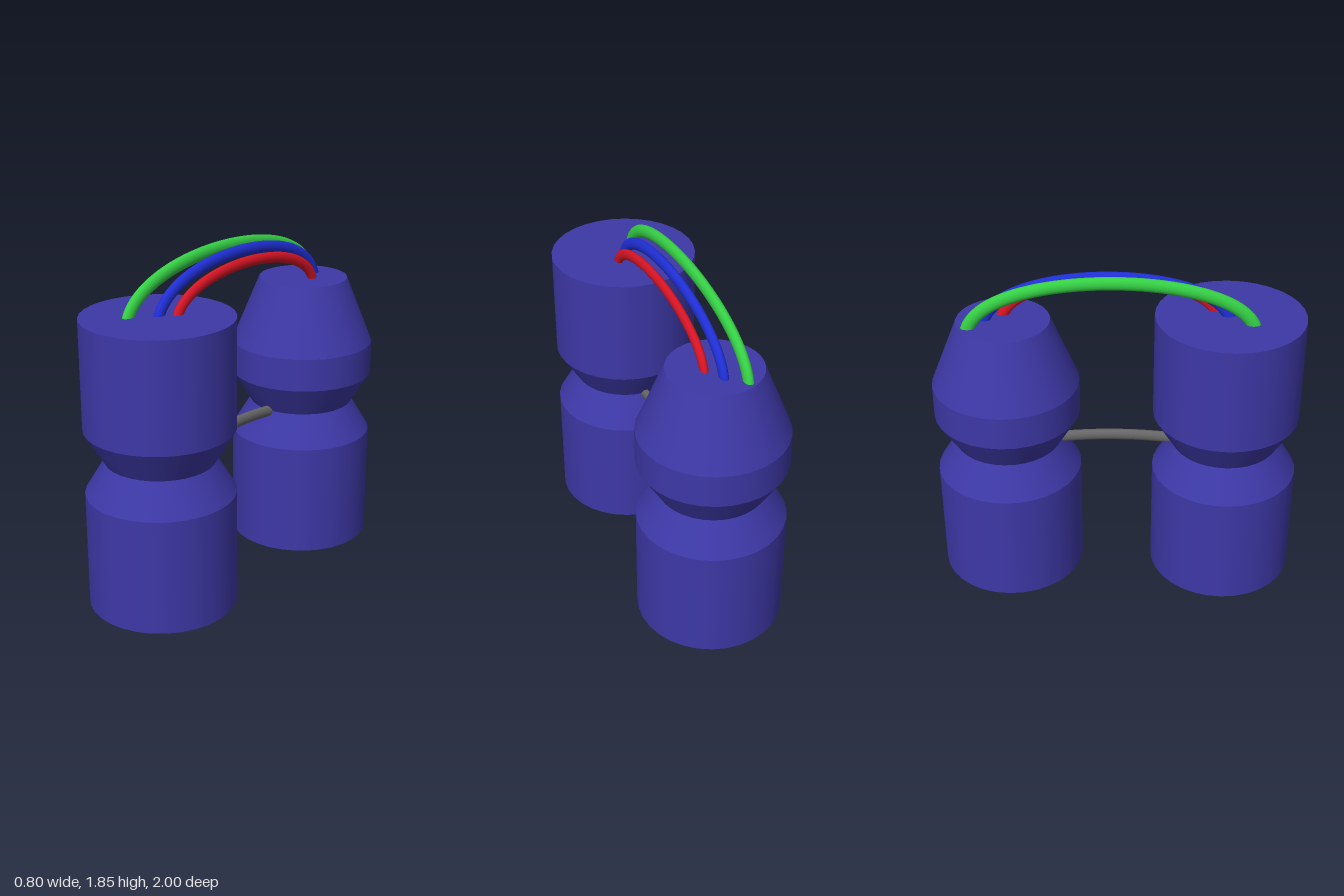
import * as THREE from 'three';

const V = (y, z) => new THREE.Vector3(0, y, z);
const paint = (color) => new THREE.MeshStandardMaterial({ color, side: THREE.DoubleSide });

// Turned body: each conical band is its own lathe, so the rims stay crisp
function makeBody(name, profile, z, material) {
  const body = new THREE.Group();
  body.name = name;
  for (let i = 0; i < profile.length - 1; i++) {
    const band = profile.slice(i, i + 2).map(([r, y]) => new THREE.Vector2(r, y));
    const mesh = new THREE.Mesh(new THREE.LatheGeometry(band, 32), material);
    mesh.name = `${name}Band${i + 1}`;
    body.add(mesh);
  }
  body.position.z = z;
  return body;
}

// Arched cable, slightly flattened across its width
function makeCable(name, curve, x, radius, color) {
  const geometry = new THREE.TubeGeometry(curve, 48, radius, 16);
  geometry.scale(0.72, 1, 1);
  const mesh = new THREE.Mesh(geometry, paint(color));
  mesh.name = name;
  mesh.position.x = x;
  return mesh;
}

export function createModel() {
  const model = new THREE.Group();
  model.name = 'linkedColumns';
  const bodyMaterial = paint(0x3d38a6);

  // Shared lower half with the narrow waist
  const base = [[0, 0], [0.4, 0], [0.4, 0.635], [0.293, 0.812], [0.4, 0.99]];
  model.add(makeBody('frontColumn', [...base, [0.4, 1.585], [0, 1.585]], 0.6, bodyMaterial));
  model.add(makeBody('backColumn', [...base, [0.4, 1.175], [0.25, 1.545], [0, 1.545]], -0.6, bodyMaterial));

  // Three cables between the column tops: x, radius, front z, back z, crown height, color
  const cables = [
    ['greenCable', -0.095, 0.036, 0.72, -0.78, 1.81, 0x35d045],
    ['blueCable', 0, 0.033, 0.595, -0.705, 1.796, 0x1f2fd6],
    ['redCable', 0.062, 0.03, 0.525, -0.61, 1.75, 0xd81424],
  ];
  for (const [name, x, radius, front, back, crown, color] of cables) {
    const lift = (crown - 0.25 * 1.545) / 0.75;
    const arch = new THREE.CubicBezierCurve3(
      V(1.56, front), V(lift, front * 0.86), V(lift, back * 0.86), V(1.53, back));
    model.add(makeCable(name, arch, x, radius, color));
  }

  // Slightly bowed rod joining the waists
  const bow = new THREE.QuadraticBezierCurve3(V(0.808, 0.325), V(0.85, 0), V(0.808, -0.325));
  model.add(makeCable('waistRod', bow, 0, 0.032, 0x666666));

  return model;
}
